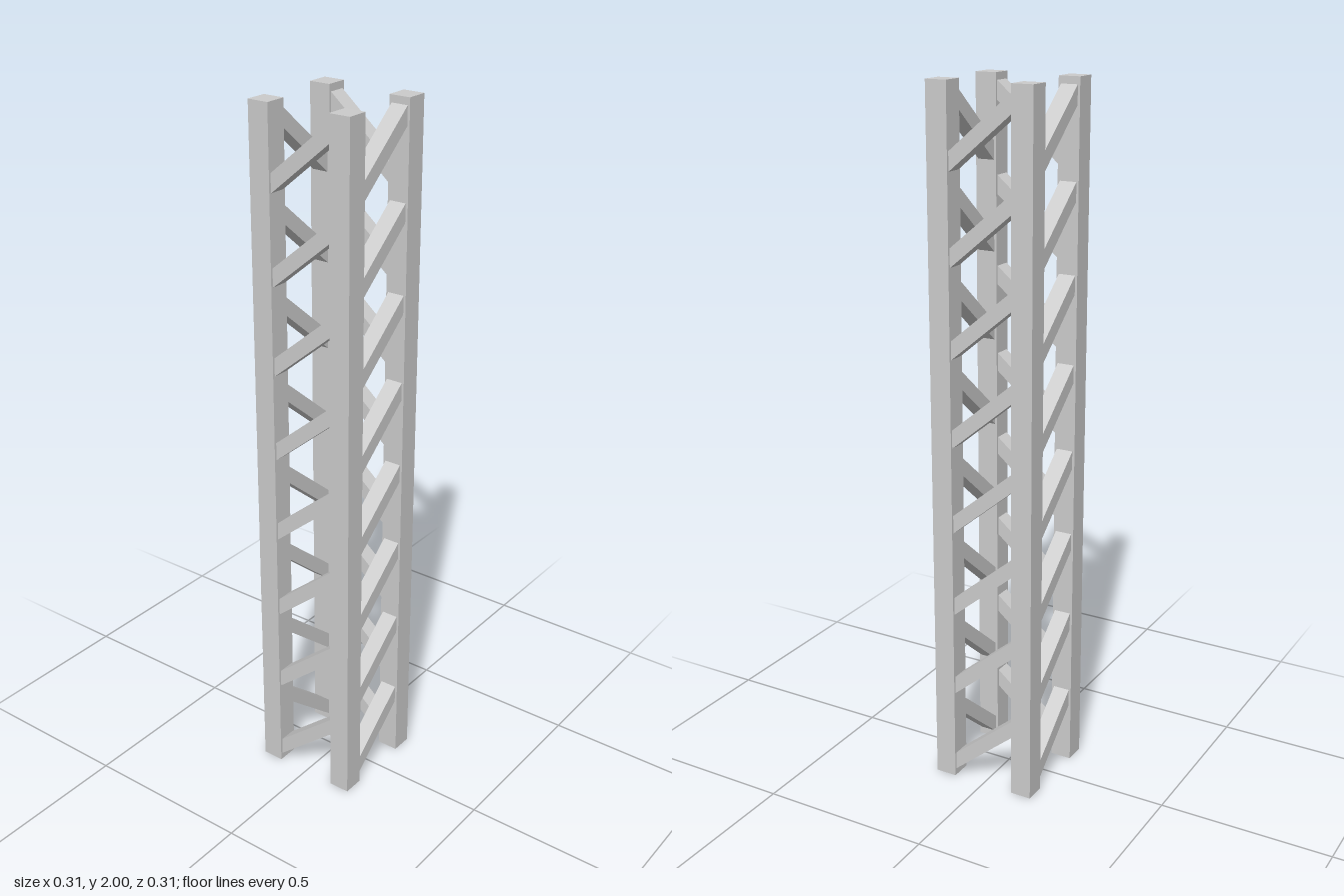
import * as THREE from 'three';

const HEIGHT = 2;
const BAYS = 8;
const POST = 0.0625;      // square post width
const OFFSET = 0.125;     // post and brace centre distance from the axis
const BRACE = { length: 0.3, thickness: 0.04, depth: 0.049, tilt: THREE.MathUtils.degToRad(40) };

export function createModel() {
  const tower = new THREE.Group();
  tower.name = 'latticeTower';
  const material = new THREE.MeshStandardMaterial({ color: 0xcccccc, flatShading: true });
  const postGeometry = new THREE.BoxGeometry(POST, HEIGHT, POST);
  const braceGeometry = new THREE.BoxGeometry(BRACE.length, BRACE.thickness, BRACE.depth);

  // Four identical sides, each a quarter turn from the last
  ['front', 'left', 'back', 'right'].forEach((label, i) => {
    const side = new THREE.Group();
    side.name = `${label}Side`;
    side.rotation.y = i * Math.PI / 2;

    // Corner post
    const post = new THREE.Mesh(postGeometry, material);
    post.name = 'cornerPost';
    post.position.set(OFFSET, HEIGHT / 2, OFFSET);
    side.add(post);

    // One diagonal brace per bay, its ends buried in the posts
    const bay = HEIGHT / BAYS;
    for (let b = 0; b < BAYS; b++) {
      const brace = new THREE.Mesh(braceGeometry, material);
      brace.name = 'diagonalBrace';
      brace.position.set(0, (b + 0.5) * bay, OFFSET);
      brace.rotation.z = BRACE.tilt;
      side.add(brace);
    }
    tower.add(side);
  });
  return tower;
}
